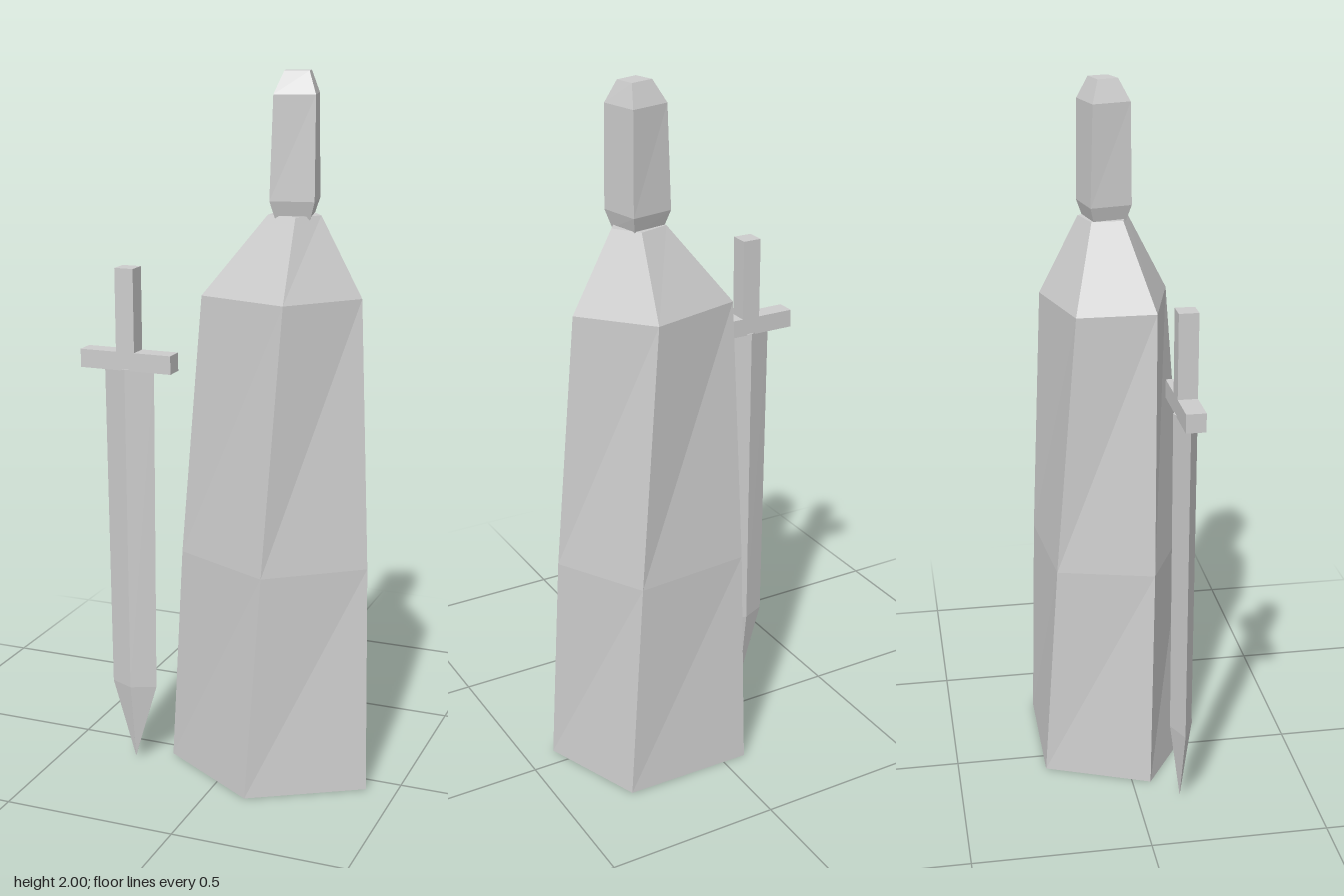
import * as THREE from 'three';

// Closed faceted solid from rings of [x, z] corners, counterclockwise seen from above, bottom to top
function loft(rings) {
  const n = rings[0].pts.length;
  const positions = [];
  const index = [];
  for (const { y, pts } of rings) for (const [x, z] of pts) positions.push(x, y, z);
  for (let r = 0; r < rings.length - 1; r++) {
    for (let i = 0; i < n; i++) {
      const j = (i + 1) % n;
      const a = r * n + i, b = r * n + j, c = a + n, d = b + n;
      index.push(a, b, d, a, d, c);
    }
  }
  const top = (rings.length - 1) * n;
  for (let i = 1; i < n - 1; i++) {
    index.push(0, i + 1, i); // bottom cap
    index.push(top, top + i, top + i + 1); // top cap
  }
  const indexed = new THREE.BufferGeometry();
  indexed.setAttribute('position', new THREE.Float32BufferAttribute(positions, 3));
  indexed.setIndex(index);
  const geometry = indexed.toNonIndexed();
  geometry.computeVertexNormals();
  return geometry;
}

export function createModel() {
  const model = new THREE.Group();
  model.name = 'robedFigureWithSword';
  const stone = new THREE.MeshStandardMaterial({ color: 0xcccccc, flatShading: true });
  stone.name = 'palestone';

  const add = (name, geometry, parent) => {
    const mesh = new THREE.Mesh(geometry, stone);
    mesh.name = name;
    parent.add(mesh);
    return mesh;
  };

  // Robe: leaning, twisted five-sided column, narrowing to the neck
  add('robe', loft([
    { y: 0, pts: [[0.11, 0.24], [0.413, 0.06], [0.304, -0.238], [-0.07, -0.242], [-0.19, 0.053]] },
    { y: 0.65, pts: [[0.145, 0.208], [0.392, 0.022], [0.256, -0.228], [-0.077, -0.2], [-0.147, 0.07]] },
    { y: 1.4, pts: [[0.185, 0.156], [0.347, -0.026], [0.188, -0.206], [-0.075, -0.138], [-0.077, 0.084]] },
    { y: 1.62, pts: [[0.178, 0.043], [0.228, -0.025], [0.177, -0.096], [0.09, -0.07], [0.09, 0.018]] },
  ]), model);

  // Head: four-sided block with bevelled ends and a slight twist
  add('head', loft([
    { y: 1.61, pts: [[0.115, 0.028], [0.208, 0.01], [0.188, -0.08], [0.095, -0.062]] },
    { y: 1.66, pts: [[0.104, 0.044], [0.224, 0.021], [0.2, -0.097], [0.078, -0.074]] },
    { y: 1.94, pts: [[0.113, 0.042], [0.222, 0.014], [0.196, -0.094], [0.083, -0.066]] },
    { y: 2, pts: [[0.132, 0.011], [0.196, -0.008], [0.183, -0.064], [0.116, -0.047]] },
  ]), model);

  // Sword: floating point-down at the figure's right side
  const sword = new THREE.Group();
  sword.name = 'sword';
  sword.position.set(-0.28, 0, 0.122);
  model.add(sword);

  const diamond = (w, d) => [[0, d], [w, 0], [0, -d], [-w, 0]];
  add('blade', loft([
    { y: 0.01, pts: diamond(0.0005, 0.0005) },
    { y: 0.24, pts: diamond(0.069, 0.031) },
    { y: 1.19, pts: diamond(0.075, 0.033) },
  ]), sword);
  add('crossguard', new THREE.BoxGeometry(0.273, 0.052, 0.054), sword).position.y = 1.212;
  add('grip', new THREE.BoxGeometry(0.055, 0.236, 0.054), sword).position.y = 1.354;

  return model;
}
